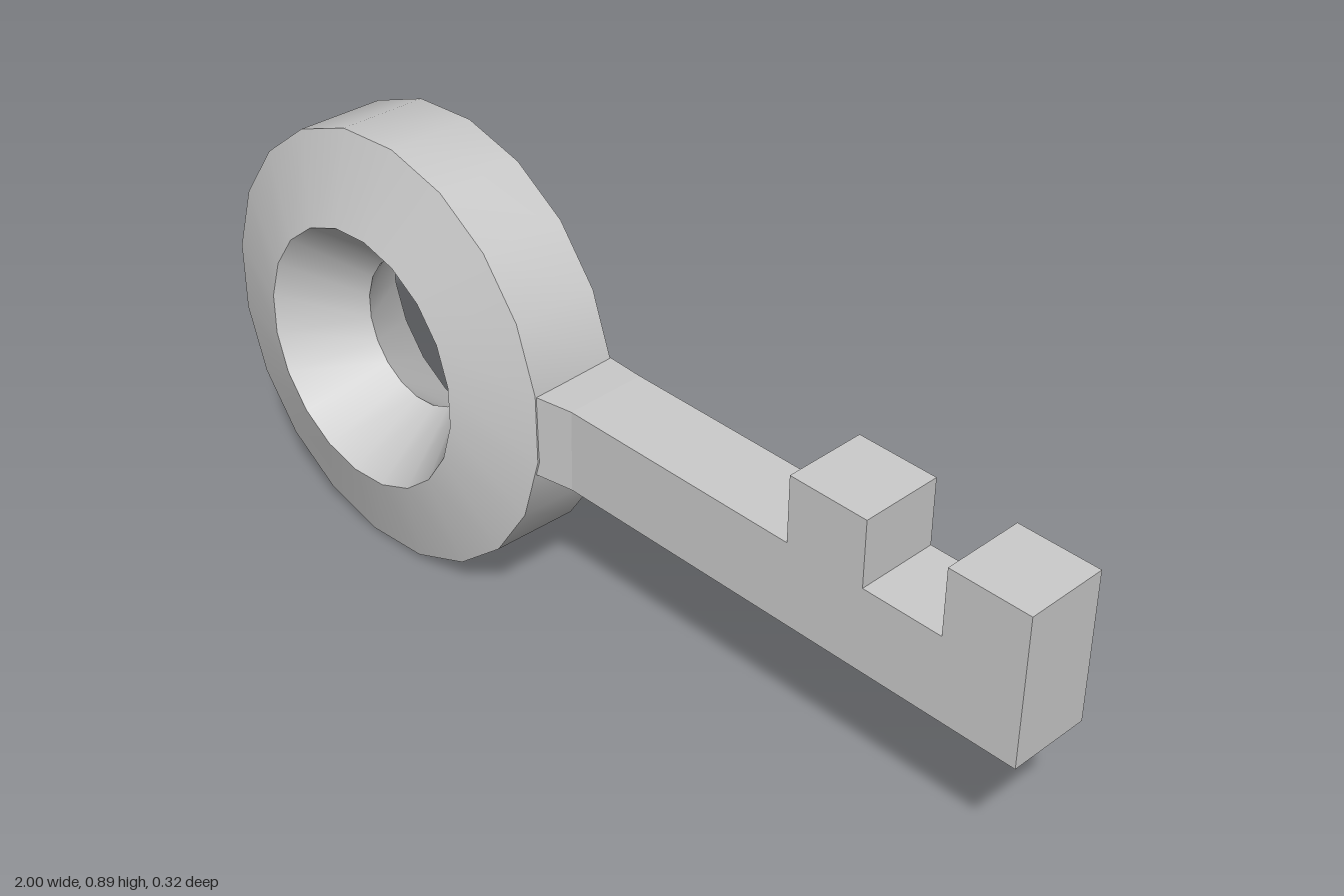
import * as THREE from 'three';
import { toCreasedNormals } from 'three/addons/utils/BufferGeometryUtils.js';

const material = new THREE.MeshStandardMaterial({ color: 0xcccccc });

function addPart(group, name, geometry) {
  const mesh = new THREE.Mesh(toCreasedNormals(geometry, 0.6), material);
  mesh.name = name;
  group.add(mesh);
}

export function createModel() {
  const key = new THREE.Group();
  key.name = 'key';

  // Bow: ring of pentagonal section; the negative tube radius turns a section corner inward
  const bow = new THREE.TorusGeometry(0.316, -0.16, 5, 20);
  bow.rotateZ(THREE.MathUtils.degToRad(13));
  bow.rotateX(-0.039);
  bow.translate(-0.557, 0.447, 0);
  addPart(key, 'bow', bow);

  // Shaft with two teeth standing on its upper edge
  const x0 = -0.04, bottom = 0.38, top = 0.553, toothTop = 0.692;
  const back = -0.092, front = 0.078;
  const profile = new THREE.Shape([
    [x0, bottom], [1, bottom], [1, toothTop], [0.83, toothTop], [0.83, top],
    [0.66, top], [0.66, toothTop], [0.49, toothTop], [0.49, top], [x0, top],
  ].map(([x, y]) => new THREE.Vector2(x, y)));
  const shaft = new THREE.ExtrudeGeometry(profile, { depth: front - back, bevelEnabled: false });
  shaft.translate(0, 0, back);
  addPart(key, 'shaftAndTeeth', shaft);

  // Collar: flares from the shaft to the tilted rim of the bow
  const collar = new THREE.BoxGeometry(1, 1, 1);
  const p = collar.attributes.position;
  for (let i = 0; i < p.count; i++) {
    const atBow = p.getX(i) < 0, isTop = p.getY(i) > 0, isFront = p.getZ(i) > 0;
    const tilt = isTop ? -0.004 : 0.003;
    const z = atBow ? (isFront ? 0.094 : -0.098) + tilt : (isFront ? front : back);
    const y = isTop ? (atBow ? 0.547 : top) : bottom;
    p.setXYZ(i, atBow ? -0.145 : x0, y, z);
  }
  addPart(key, 'collar', collar);

  return key;
}
